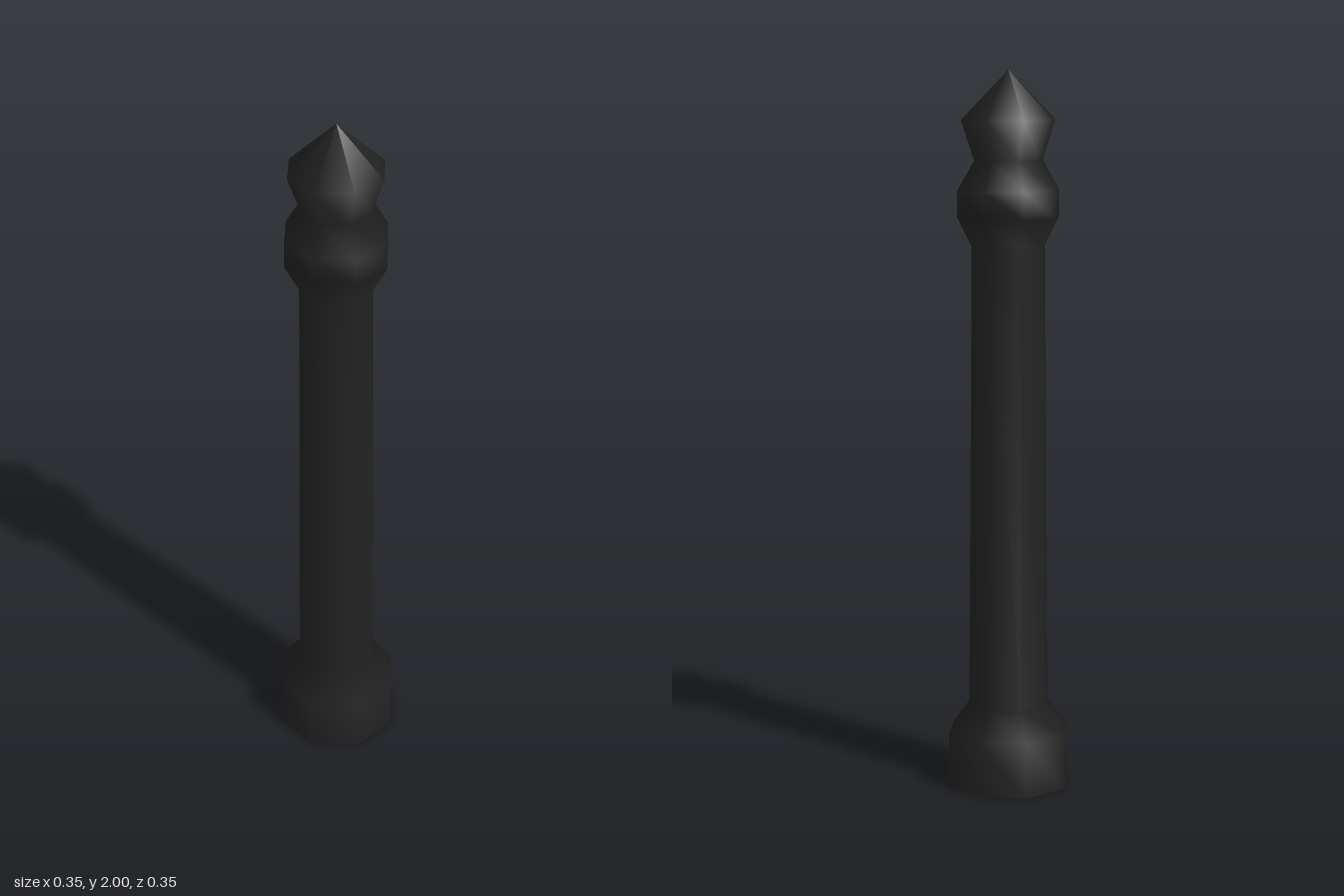
import * as THREE from 'three';

const SIDES = 8;
const BASE_RADIUS = 0.175;

export function createModel() {
  const model = new THREE.Group();
  model.name = 'bollard';

  const blackIron = new THREE.MeshStandardMaterial({ color: 0x222222 });
  blackIron.name = 'blackIron';

  // Octagonal turned post: radius and height from the ground to the tip
  const profile = [
    [BASE_RADIUS, 0], [BASE_RADIUS, 0.155], // plinth
    [0.115, 0.235], [0.105, 1.52],          // tapered shaft
    [0.146, 1.6], [0.146, 1.675],           // collar
    [0.098, 1.755],                         // neck
    [0.135, 1.865], [0, 2],                 // pointed finial
  ].map(([r, y]) => new THREE.Vector2(r, y));
  const post = new THREE.Mesh(new THREE.LatheGeometry(profile, SIDES), blackIron);
  post.name = 'post';
  model.add(post);

  // Flat underside
  const underside = new THREE.Mesh(
    new THREE.CircleGeometry(BASE_RADIUS, SIDES).rotateX(Math.PI / 2),
    blackIron
  );
  underside.name = 'underside';
  model.add(underside);

  return model;
}
